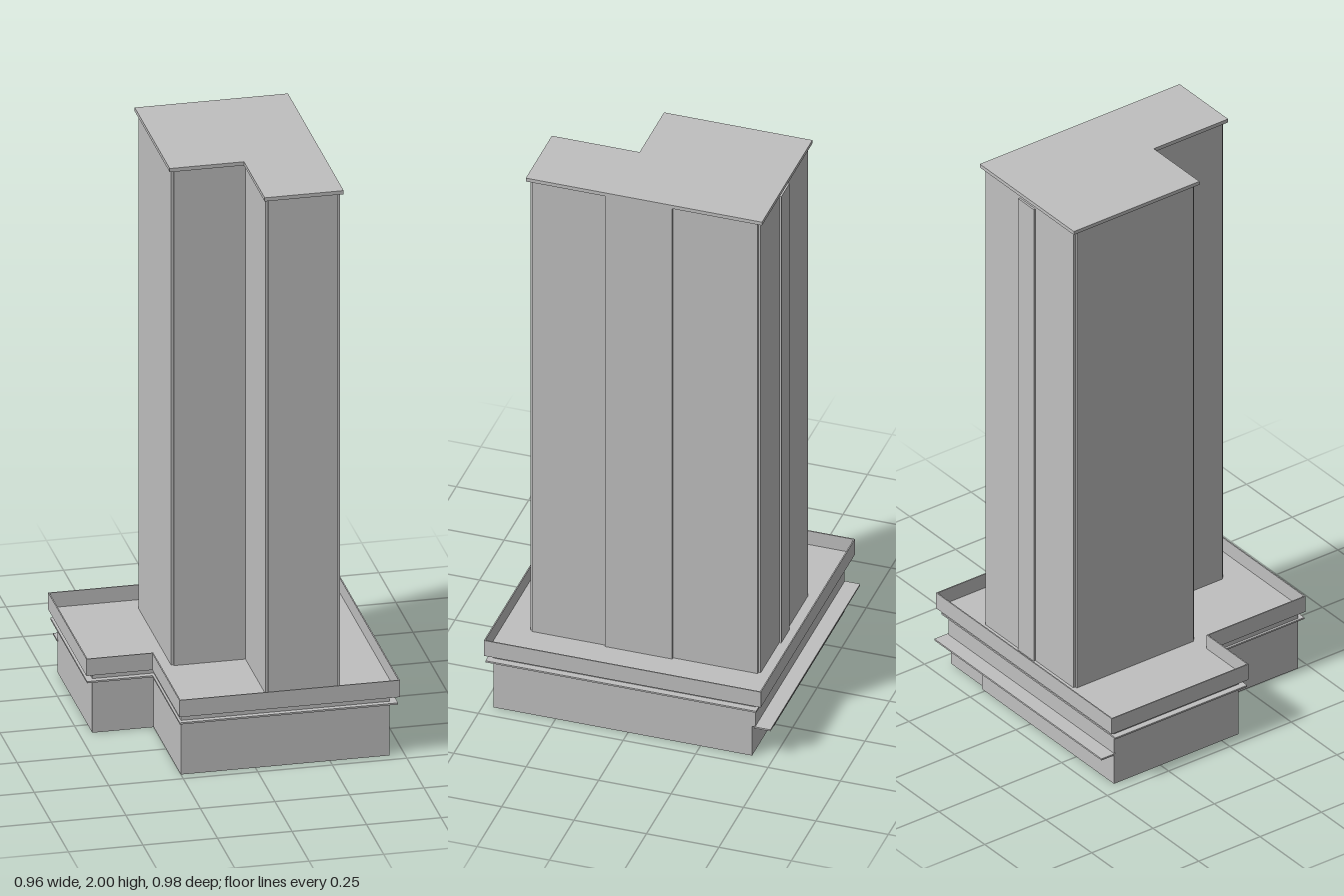
import * as THREE from 'three';

const grey = new THREE.MeshStandardMaterial({ color: 0xbfbfbf });
grey.name = 'concrete grey';

// L-shaped plan: a rectangle with its -x, +z corner cut away at (nx, nz)
function plan(x0, x1, z0, z1, nx, nz) {
  return [[x0, z0], [x0, nz], [nx, nz], [nx, z1], [x1, z1], [x1, z0]];
}

// The same plan shrunk by t on every side
function inset([x0, x1, z0, z1, nx, nz], t) {
  return [x0 + t, x1 - t, z0 + t, z1 - t, nx + t, nz - t];
}

// Cuts a small square rebate out of every outer corner except the inner one
function rebate(points, s) {
  const n = points.length;
  return points.flatMap((p, i) => {
    if (i === 2) return [p];
    const step = (q) => [Math.sign(q[0] - p[0]) * s, Math.sign(q[1] - p[1]) * s];
    const a = step(points[(i + n - 1) % n]);
    const b = step(points[(i + 1) % n]);
    return [
      [p[0] + a[0], p[1] + a[1]],
      [p[0] + a[0] + b[0], p[1] + a[1] + b[1]],
      [p[0] + b[0], p[1] + b[1]],
    ];
  });
}

export function createModel() {
  const model = new THREE.Group();
  model.name = 'towerBuilding';

  // Raises a plan (with an optional hole) from y0 to y1
  function raise(name, points, y0, y1, hole) {
    const vec = ([x, z]) => new THREE.Vector2(x, -z);
    const shape = new THREE.Shape(points.map(vec));
    if (hole) shape.holes.push(new THREE.Path(hole.map(vec)));
    const geometry = new THREE.ExtrudeGeometry(shape, { depth: y1 - y0, bevelEnabled: false });
    geometry.rotateX(-Math.PI / 2).translate(0, y0, 0);
    const mesh = new THREE.Mesh(geometry, grey);
    mesh.name = name;
    model.add(mesh);
  }

  function box(name, x0, x1, y0, y1, z0, z1) {
    const mesh = new THREE.Mesh(new THREE.BoxGeometry(x1 - x0, y1 - y0, z1 - z0), grey);
    mesh.position.set((x0 + x1) / 2, (y0 + y1) / 2, (z0 + z1) / 2);
    mesh.name = name;
    model.add(mesh);
  }

  const base = [-0.456, 0.45, -0.44, 0.465, -0.25, 0.067];
  const rim = [-0.481, 0.479, -0.468, 0.488, -0.26, 0.091];
  const ledge = [-0.478, 0.474, -0.45, 0.484, -0.258, 0.087];

  // Podium: hollow upper walls, and lower walls with a recess at the back
  const inner = inset(base, 0.006);
  raise('podiumUpperWalls', plan(...base), 0.115, 0.216, plan(...inner));
  const [x0, x1, z0, z1, nx, nz] = base;
  const [ix0, ix1, iz0, iz1, inx, inz] = inner;
  const bay = 0.265, deep = 0.012;
  raise('podiumLowerWalls',
    [[x0, z0], [x0, nz], [nx, nz], [nx, z1], [x1, z1], [x1, z0 + deep], [bay, z0 + deep], [bay, z0]],
    0, 0.115,
    [[ix0, iz0], [ix0, inz], [inx, inz], [inx, iz1], [ix1, iz1], [ix1, iz0 + deep],
      [bay - 0.006, iz0 + deep], [bay - 0.006, iz0]]);

  // Podium trim, deck and thin parapet
  raise('podiumLedge', plan(...ledge), 0.187, 0.193, plan(...inner));
  raise('podiumDeck', plan(...rim), 0.215, 0.222);
  raise('parapet', plan(...rim), 0.215, 0.275, plan(...inset(rim, 0.004)));
  box('backCanopy', -0.459, 0.455, 0.112, 0.118, -0.493, -0.436);

  // Tower shaft with rebated corners, and its overhanging roof slab
  const shaft = plan(-0.195, 0.302, -0.405, 0.39, 0.053, 0.088);
  raise('towerShaft', rebate(shaft, 0.008), 0.22, 1.988);
  raise('towerRoof', plan(-0.203, 0.311, -0.415, 0.4, 0.046, 0.097), 1.987, 2);

  // Shallow bays on the tower's side and back
  box('sideBay', 0.29, 0.31, 0.22, 1.99, -0.105, 0.127);
  box('backBay', 0.02, 0.105, 0.22, 1.97, -0.412, -0.39);

  return model;
}
